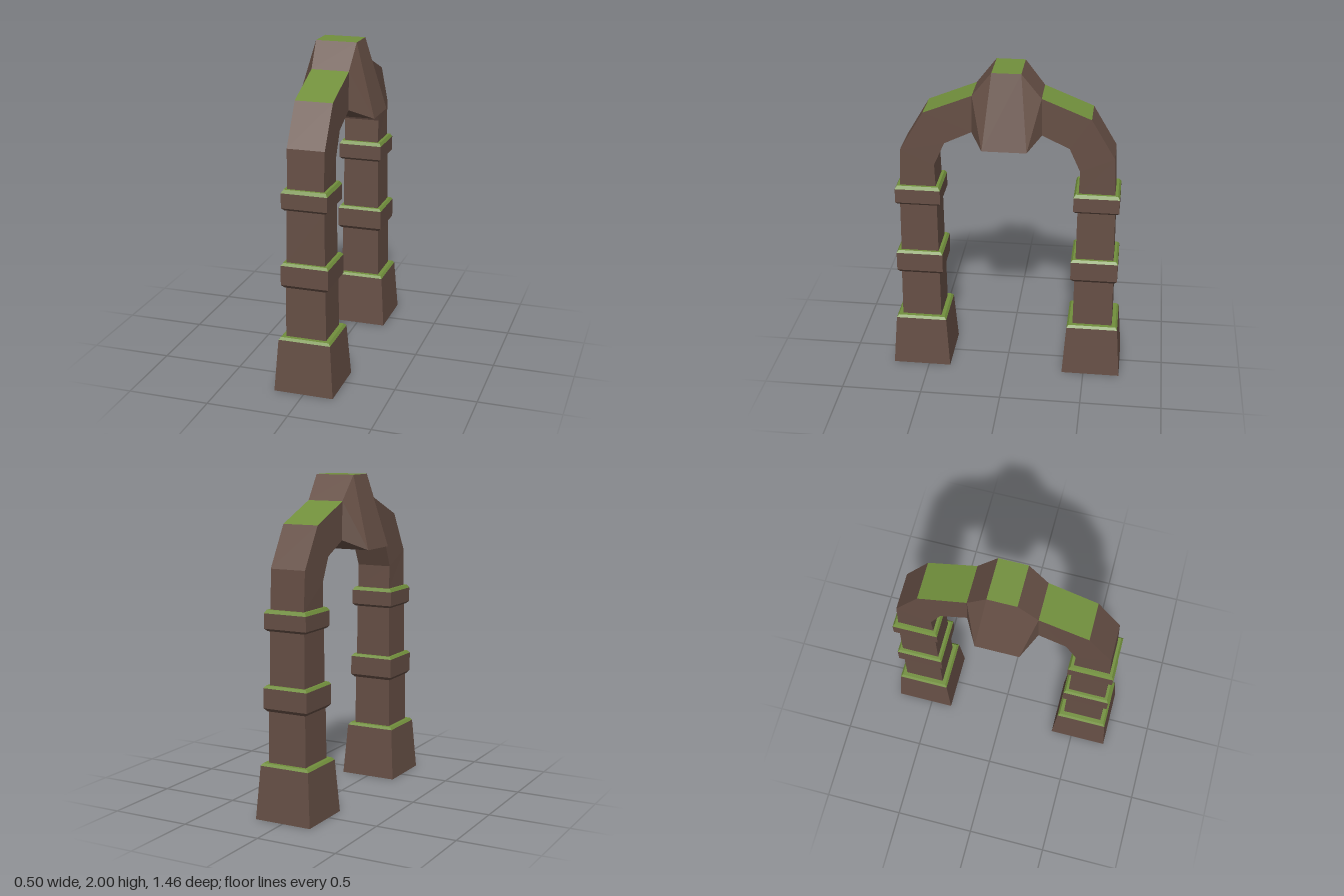
import * as THREE from 'three';

const brown = new THREE.MeshStandardMaterial({ color: 0x664f45, side: THREE.DoubleSide });
brown.name = 'brownStone';
const green = new THREE.MeshStandardMaterial({ color: 0x718f3c, side: THREE.DoubleSide });
green.name = 'greenMoss';

// Flat-shaded mesh from planar corner loops (3 or 4 points, counter-clockwise from outside)
function faceMesh(name, material, faces) {
  const pos = [];
  for (const f of faces) {
    for (let i = 1; i < f.length - 1; i++) pos.push(...f[0], ...f[i], ...f[i + 1]);
  }
  const geo = new THREE.BufferGeometry();
  geo.setAttribute('position', new THREE.Float32BufferAttribute(pos, 3));
  geo.computeVertexNormals();
  const mesh = new THREE.Mesh(geo, material);
  mesh.name = name;
  return mesh;
}

// Four side faces between two rectangular sections; index 0 is the outer face
const sideFaces = (a, b) => a.map((p, i) => {
  const j = (i + 1) % 4;
  return [p, a[j], b[j], b[i]];
});

// Section corners: outer edge (zo, yo), inner edge (zi, yi), half width hx
const section = (zo, yo, zi, yi, hx) => [[-hx, yo, zo], [hx, yo, zo], [hx, yi, zi], [-hx, yi, zi]];

const PILLAR_Z = 0.545;
const square = (y, h) => section(PILLAR_Z + h, y, PILLAR_Z - h, y, h);

// Pillar profile: height, half width, and whether the band below is mossy
const profile = [
  [0, 0.183], [0.325, 0.16], [0.34, 0.148, true], [0.34, 0.124, true],
  [0.65, 0.121], [0.65, 0.128], [0.67, 0.145], [0.79, 0.145], [0.805, 0.133, true], [0.805, 0.117, true],
  [1.125, 0.114], [1.125, 0.124], [1.14, 0.139], [1.23, 0.139], [1.25, 0.127, true], [1.25, 0.11, true],
];

// Arch sections from the pillar head to the keystone
const archSections = [
  section(0.655, 1.25, 0.435, 1.25, 0.11),
  section(0.645, 1.485, 0.44, 1.395, 0.113),
  section(0.5, 1.73, 0.375, 1.54, 0.114),
  section(0.205, 1.85, 0.21, 1.62, 0.115),
];

function createHalf(name) {
  const half = new THREE.Group();
  half.name = name;

  // Pillar with flared foot and two collars, open underneath
  const stone = [], moss = [];
  for (let i = 1; i < profile.length; i++) {
    const [y0, h0] = profile[i - 1];
    const [y1, h1, mossy] = profile[i];
    (mossy ? moss : stone).push(...sideFaces(square(y0, h0), square(y1, h1)));
  }
  half.add(faceMesh('pillar', brown, stone), faceMesh('pillarMossLedges', green, moss));

  // Curved arm, with moss on its uppermost face
  const arm = [], armMoss = [];
  for (let i = 1; i < archSections.length; i++) {
    const faces = sideFaces(archSections[i - 1], archSections[i]);
    if (i === archSections.length - 1) armMoss.push(faces.shift());
    arm.push(...faces);
  }
  half.add(faceMesh('archArm', brown, arm), faceMesh('archArmMoss', green, armMoss));
  return half;
}

function createKeystone() {
  const group = new THREE.Group();
  group.name = 'keystone';
  const top = (sx, sz) => [0.126 * sx, 2, 0.087 * sz];
  const upper = (sx, sz) => [0.115 * sx, 1.85, 0.205 * sz];
  const lower = (sx, sz) => [0.115 * sx, 1.62, 0.21 * sz];
  const tip = (sx, sz) => [0.25 * sx, 1.56, 0.132 * sz];
  const faces = [];

  for (const s of [1, -1]) {
    // Shoulder and underside towards each arm
    faces.push([upper(-s, s), upper(s, s), top(s, s), top(-s, s)]);
    faces.push([tip(-s, s), tip(s, s), lower(s, s), lower(-s, s)]);
    // Flared side and the facets at its two edges
    faces.push([tip(s, s), tip(s, -s), top(s, -s), top(s, s)]);
    faces.push([upper(s, s), tip(s, s), top(s, s)]);
    faces.push([lower(s, s), tip(s, s), upper(s, s)]);
    faces.push([upper(s, -s), top(s, -s), tip(s, -s)]);
    faces.push([lower(s, -s), upper(s, -s), tip(s, -s)]);
  }
  // Flat bottom
  faces.push([tip(-1, -1), tip(1, -1), tip(1, 1), tip(-1, 1)]);
  group.add(faceMesh('keystoneBlock', brown, faces));
  group.add(faceMesh('keystoneMossTop', green, [[top(-1, 1), top(1, 1), top(1, -1), top(-1, -1)]]));
  return group;
}

export function createModel() {
  const model = new THREE.Group();
  model.name = 'stoneArch';
  const front = createHalf('frontHalf');
  const back = createHalf('backHalf');
  back.rotation.y = Math.PI;
  model.add(front, back, createKeystone());
  return model;
}
